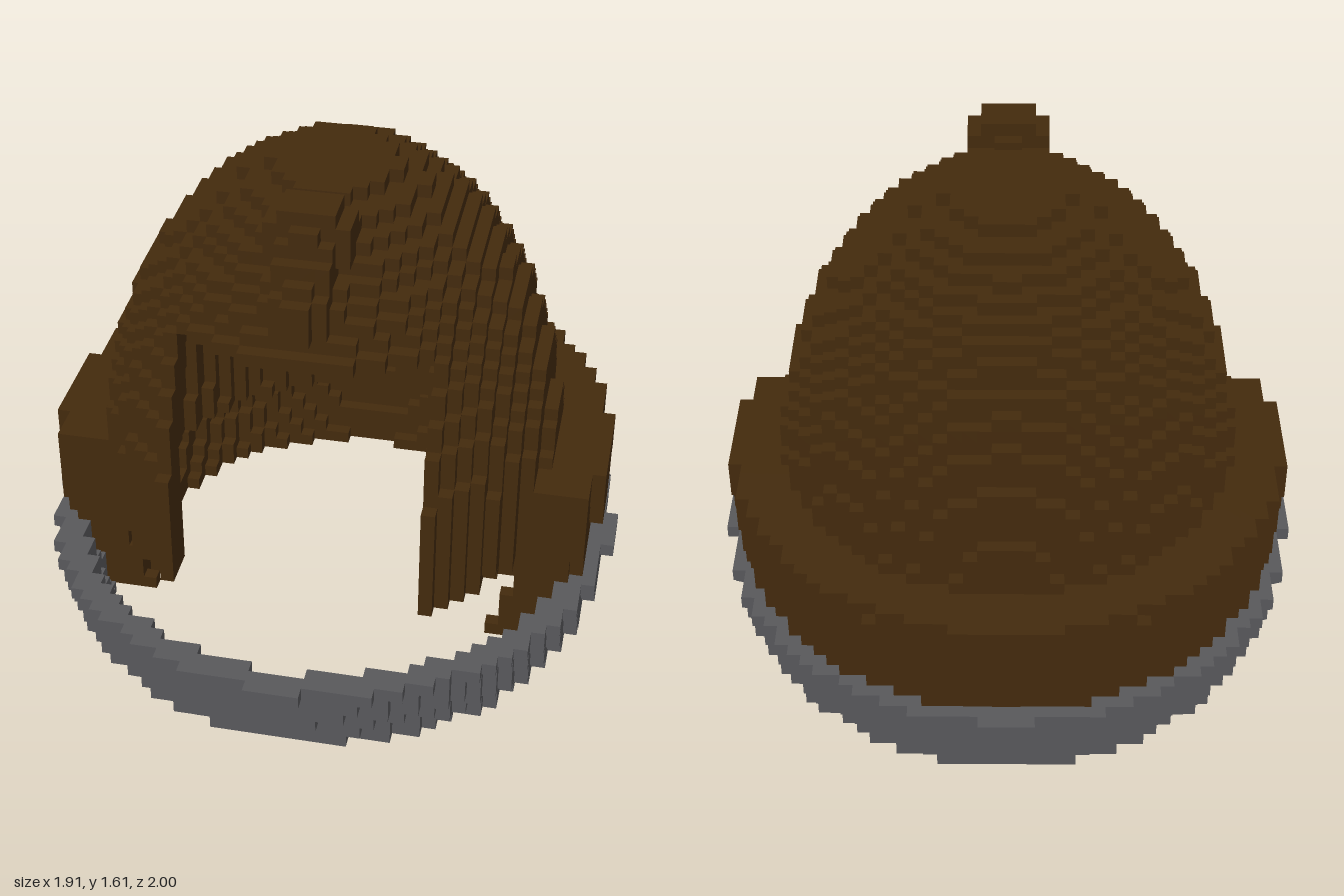
import * as THREE from 'three';

const V = 2 / 46;                       // edge of one cube
const NX = 23, NY = 37, NZ = 23;        // half counts in x and z, layers in y
const CY = 0.54;                        // shared centre height of all the shells

// true when the point lies inside an ellipsoid with these radii
const inside = (x, y, z, rx, ry, rz) =>
  (x / rx) ** 2 + ((y - CY) / ry) ** 2 + (z / rz) ** 2 < 1;

const inHollow = (x, y, z) => inside(x, y, z, 0.655, 0.95, 0.69);
const inCrown = (x, y, z) => inside(x, y, z, 0.737, 1.043, 0.783);

// flared collar: low slice of the widest shell
const isCollar = (x, y, z, j) => j < 6 &&
  inside(x, y, z, 0.969, 1.2, 1.014) && !inside(x, y, z, 0.885, 1.14, 0.93);

// domed shell with an open face between two side locks
function isDome(x, y, z, j) {
  if (!inCrown(x, y, z) || inHollow(x, y, z)) return false;
  if (j < (z > 7 * V ? 8 : 6)) return false;
  return !(z > 0 && Math.abs(x) < 9 * V && j < 27);
}

// band round the back and sides, reaching down inside the collar
const isBand = (x, y, z, j) => z < 7 * V && j < 14 &&
  inside(x, y, z, 0.905, 1.14, 0.953) && !inCrown(x, y, z);

// curl lying on the front of the crown, a chain of growing balls
function isCurl(x, y, z) {
  if (inHollow(x, y, z)) return false;
  for (let t = 0; t <= 1; t += 0.125) {
    const r = 0.06 + 0.037 * t, wide = 1 + 0.45 * t;
    if (Math.hypot(x / wide, y - 1.305 - 0.21 * t, z - 0.575 + 0.205 * t) < r) return true;
  }
  return false;
}

// which part fills the cube: 0 none, 1 collar, 2 dome, 3 band, 4 curl
function classify(i, j, k) {
  const x = (i + 0.5) * V, y = (j + 0.5) * V, z = (k + 0.5) * V;
  if (isCollar(x, y, z, j)) return 1;
  if (isDome(x, y, z, j)) return 2;
  if (isBand(x, y, z, j)) return 3;
  return isCurl(x, y, z) ? 4 : 0;
}

// outward directions paired with two edge directions (u x v = n)
const SIDES = [
  { n: [1, 0, 0], u: [0, 1, 0], v: [0, 0, 1] },
  { n: [-1, 0, 0], u: [0, 0, 1], v: [0, 1, 0] },
  { n: [0, 1, 0], u: [0, 0, 1], v: [1, 0, 0] },
  { n: [0, -1, 0], u: [1, 0, 0], v: [0, 0, 1] },
  { n: [0, 0, 1], u: [1, 0, 0], v: [0, 1, 0] },
  { n: [0, 0, -1], u: [0, 1, 0], v: [1, 0, 0] },
];

export function createModel() {
  const model = new THREE.Group();
  model.name = 'hoodedHelmet';
  const brown = new THREE.MeshStandardMaterial({ color: 0x432a0d });
  brown.name = 'darkBrown';
  const grey = new THREE.MeshStandardMaterial({ color: 0x58585b });
  grey.name = 'slateGrey';

  // fill the grid
  const grid = new Map();
  const key = (i, j, k) => ((i + 32) * 64 + j + 8) * 64 + k + 32;
  for (let i = -NX; i < NX; i++)
    for (let j = 0; j < NY; j++)
      for (let k = -NZ; k < NZ; k++) {
        const part = classify(i, j, k);
        if (part) grid.set(key(i, j, k), { part, cell: [i, j, k] });
      }

  // one square for each uncovered side of a cube
  const parts = [null, 'collar', 'dome', 'sideBand', 'frontCurl']
    .map((name) => ({ name, pos: [], nor: [], idx: [] }));
  for (const { part, cell } of grid.values()) {
    const { pos, nor, idx } = parts[part];
    for (const { n, u, v } of SIDES) {
      if (grid.has(key(cell[0] + n[0], cell[1] + n[1], cell[2] + n[2]))) continue;
      const b = pos.length / 3;
      for (const [s, t] of [[0, 0], [1, 0], [1, 1], [0, 1]]) {
        for (let a = 0; a < 3; a++)
          pos.push((cell[a] + Math.max(n[a], 0) + s * u[a] + t * v[a]) * V);
        nor.push(...n);
      }
      idx.push(b, b + 1, b + 2, b, b + 2, b + 3);
    }
  }

  for (const { name, pos, nor, idx } of parts) {
    if (!name) continue;
    const geo = new THREE.BufferGeometry();
    geo.setAttribute('position', new THREE.Float32BufferAttribute(pos, 3));
    geo.setAttribute('normal', new THREE.Float32BufferAttribute(nor, 3));
    geo.setIndex(idx);
    const mesh = new THREE.Mesh(geo, name === 'collar' ? grey : brown);
    mesh.name = name;
    model.add(mesh);
  }
  return model;
}
